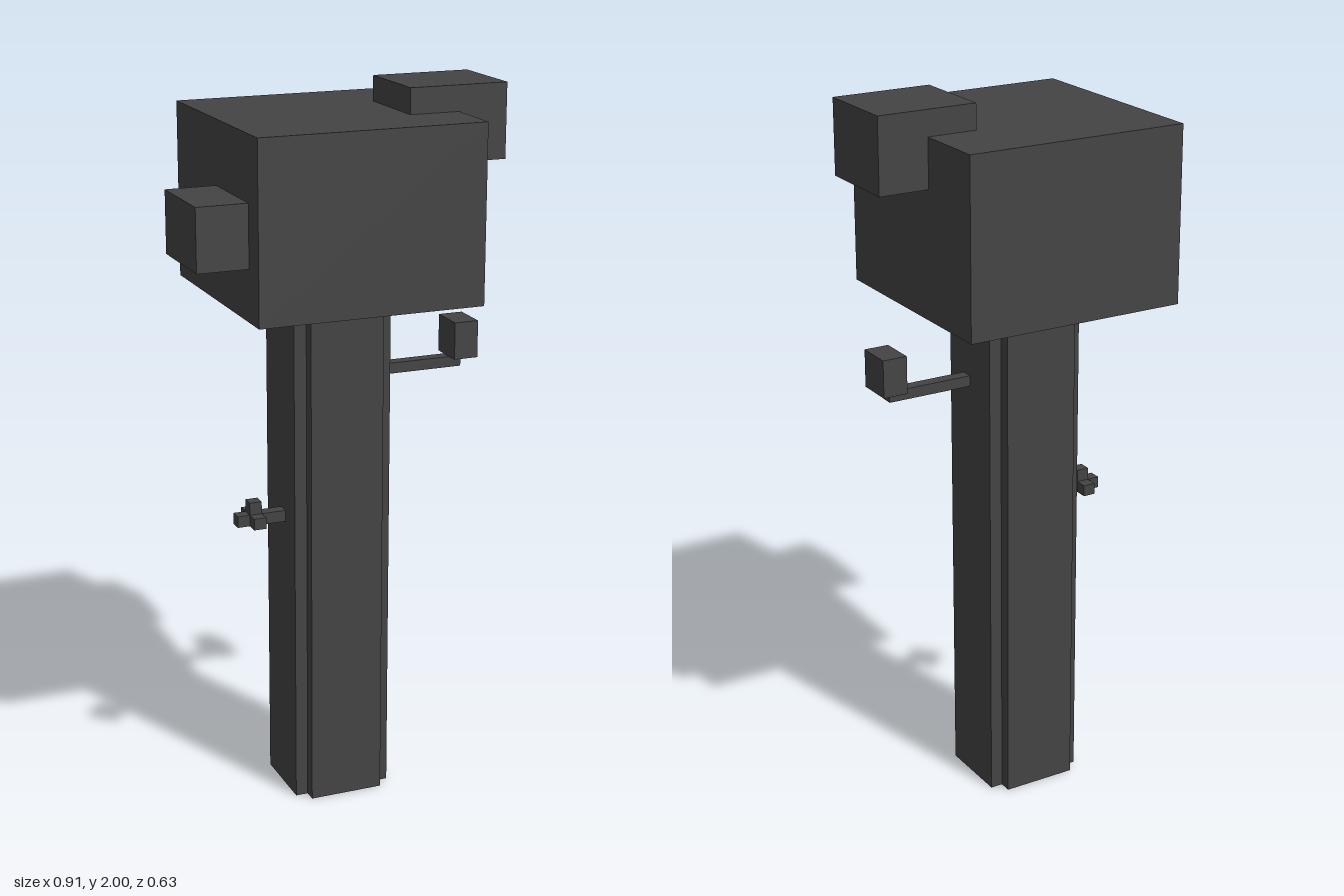
import * as THREE from 'three';

export function createModel() {
  const model = new THREE.Group();
  model.name = 'blockTree';
  const charcoal = new THREE.MeshStandardMaterial({ color: 0x444444 });
  charcoal.name = 'charcoal';

  // Box given by its extents along each axis
  function block(name, [x0, x1], [y0, y1], [z0, z1], parent = model) {
    const mesh = new THREE.Mesh(new THREE.BoxGeometry(x1 - x0, y1 - y0, z1 - z0), charcoal);
    mesh.position.set((x0 + x1) / 2, (y0 + y1) / 2, (z0 + z1) / 2);
    mesh.name = name;
    parent.add(mesh);
  }

  // Trunk: square post with notched corners
  const a = 0.14, b = 0.105;
  const outline = [];
  for (const [sx, sz] of [[1, 1], [-1, 1], [-1, -1], [1, -1]]) {
    const corner = [[a, b], [b, b], [b, a]].map(([x, z]) => new THREE.Vector2(x * sx, z * sz));
    outline.push(...(sx * sz > 0 ? corner : corner.reverse()));
  }
  const trunkGeometry = new THREE.ExtrudeGeometry(new THREE.Shape(outline), { depth: 1.445, bevelEnabled: false });
  trunkGeometry.rotateX(-Math.PI / 2);
  const trunk = new THREE.Mesh(trunkGeometry, charcoal);
  trunk.name = 'trunk';
  model.add(trunk);

  // Crown with two leaf clumps
  block('crown', [-0.315, 0.315], [1.445, 1.93], [-0.315, 0.315]);
  block('upperLeafClump', [0.175, 0.455], [1.795, 2], [-0.105, 0.14]);
  block('sideLeafClump', [-0.455, -0.315], [1.585, 1.755], [0, 0.245]);

  // Upper branch with a leaf bud
  const upper = new THREE.Group();
  upper.name = 'upperBranch';
  block('upperBranchStem', [0.14, 0.385], [1.2, 1.23], [0, 0.035], upper);
  block('upperBranchBud', [0.35, 0.42], [1.23, 1.335], [-0.035, 0.07], upper);
  model.add(upper);

  // Lower twig with small knobs around its end
  const lower = new THREE.Group();
  lower.name = 'lowerTwig';
  block('twigStem', [-0.28, -0.14], [0.81, 0.842], [0, 0.035], lower);
  block('twigTopKnob', [-0.245, -0.21], [0.842, 0.877], [0, 0.035], lower);
  block('twigFrontKnob', [-0.245, -0.21], [0.81, 0.842], [0.035, 0.07], lower);
  block('twigBackKnob', [-0.245, -0.21], [0.81, 0.842], [-0.035, 0], lower);
  model.add(lower);

  return model;
}
